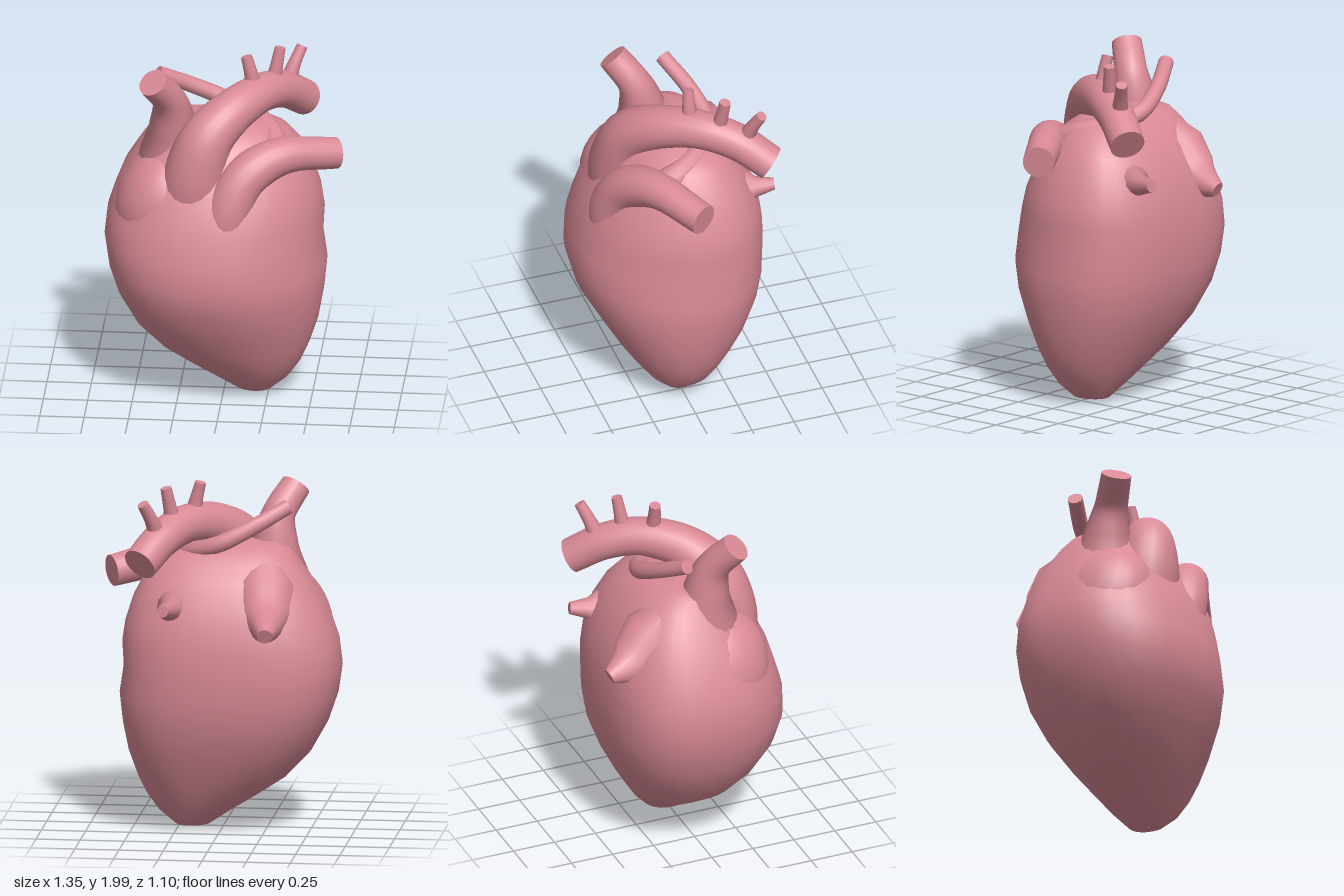
import * as THREE from 'three';

const flesh = new THREE.MeshStandardMaterial({ color: 0xd98a96 });
flesh.name = 'flesh pink';

// Cross-sections: y, centre x, centre z, left x, right x, front z, back z
const SECTIONS = [
  [0, 0.18, 0, 0.179, 0.181, 0.001, -0.001],
  [0.02, 0.18, 0, 0.07, 0.27, 0.085, -0.125],
  [0.1, 0.16, 0, -0.05, 0.365, 0.17, -0.195],
  [0.2, 0.12, 0, -0.21, 0.435, 0.25, -0.26],
  [0.3, 0.08, 0, -0.36, 0.48, 0.32, -0.32],
  [0.45, 0.02, 0, -0.5, 0.53, 0.41, -0.4],
  [0.62, -0.02, -0.02, -0.595, 0.56, 0.505, -0.47],
  [0.78, -0.04, -0.04, -0.65, 0.575, 0.545, -0.5],
  [0.94, -0.04, -0.06, -0.675, 0.55, 0.535, -0.51],
  [1.08, -0.03, -0.06, -0.66, 0.558, 0.495, -0.505],
  [1.2, -0.02, -0.06, -0.62, 0.54, 0.46, -0.49],
  [1.34, -0.01, -0.06, -0.565, 0.495, 0.39, -0.45],
  [1.46, -0.02, -0.06, -0.49, 0.435, 0.31, -0.39],
  [1.56, -0.04, -0.05, -0.425, 0.355, 0.23, -0.315],
  [1.62, -0.06, -0.04, -0.38, 0.25, 0.15, -0.24],
  [1.65, -0.08, -0.03, -0.31, 0.1, 0.07, -0.17],
  [1.66, -0.1, -0.03, -0.101, -0.099, -0.029, -0.031],
];

// Lofted body: every ring has four quarter superellipses of its own squareness
function bodyGeometry(segments = 40) {
  const positions = [], indices = [];
  SECTIONS.forEach(([y, cx, cz, left, right, front, back], i) => {
    const soft = Math.min(1, y / 0.45);
    for (let j = 0; j < segments; j++) {
      const a = (j / segments) * Math.PI * 2;
      const c = Math.cos(a), s = Math.sin(a);
      const full = s < 0 ? 2.6 : c < 0 ? 2.45 : 1.9;
      const n = 2 + (full - 2) * soft;
      const r = Math.pow(Math.pow(Math.abs(c), n) + Math.pow(Math.abs(s), n), -1 / n);
      positions.push(
        cx + r * c * (c > 0 ? right - cx : cx - left), y,
        cz + r * s * (s > 0 ? front - cz : cz - back));
      if (i === SECTIONS.length - 1) continue;
      const k = (j + 1) % segments, lo = i * segments, hi = lo + segments;
      indices.push(lo + j, hi + j, hi + k, lo + j, hi + k, lo + k);
    }
  });
  const geometry = new THREE.BufferGeometry();
  geometry.setAttribute('position', new THREE.Float32BufferAttribute(positions, 3));
  geometry.setIndex(indices);
  geometry.computeVertexNormals();
  return geometry;
}

// Smooth vessel along points, radius eased through a list, flat cap at the far end
function vessel(name, points, radii, steps = 20, sides = 18) {
  const group = new THREE.Group();
  group.name = name;
  const curve = new THREE.CatmullRomCurve3(points.map((p) => new THREE.Vector3(...p)));
  const geometry = new THREE.TubeGeometry(curve, steps, 1, sides);
  const pos = geometry.attributes.position, v = new THREE.Vector3();
  for (let i = 0; i <= steps; i++) {
    const centre = curve.getPointAt(i / steps);
    const f = (i / steps) * (radii.length - 1);
    const k = Math.min(Math.floor(f), radii.length - 2);
    const r = THREE.MathUtils.lerp(radii[k], radii[k + 1], f - k);
    for (let j = 0; j <= sides; j++) {
      const n = i * (sides + 1) + j;
      v.fromBufferAttribute(pos, n).sub(centre).multiplyScalar(r).add(centre);
      pos.setXYZ(n, v.x, v.y, v.z);
    }
  }
  const wall = new THREE.Mesh(geometry, flesh);
  wall.name = name + 'Wall';
  const cap = new THREE.Mesh(new THREE.CircleGeometry(radii[radii.length - 1], sides), flesh);
  cap.name = name + 'End';
  cap.position.copy(curve.getPointAt(1));
  cap.quaternion.setFromUnitVectors(new THREE.Vector3(0, 0, 1), curve.getTangentAt(1));
  group.add(wall, cap);
  return group;
}

export function createModel() {
  const heart = new THREE.Group();
  heart.name = 'heart';

  const body = new THREE.Mesh(bodyGeometry(), flesh);
  body.name = 'ventricles';
  heart.add(body);

  // Gentle swelling of the right atrium
  const atrium = new THREE.Mesh(new THREE.SphereGeometry(1, 32, 20), flesh);
  atrium.name = 'rightAtrium';
  atrium.position.set(-0.35, 1.18, 0.09);
  atrium.scale.set(0.25, 0.34, 0.3);
  atrium.rotation.z = -0.35;
  heart.add(atrium);

  // Great vessels
  heart.add(
    vessel('aorta',
      [[-0.16, 1.16, 0.19], [-0.14, 1.4, 0.22], [-0.08, 1.59, 0.19], [0.05, 1.71, 0.07],
        [0.2, 1.75, -0.13], [0.31, 1.7, -0.31], [0.415, 1.585, -0.475]],
      [0.22, 0.19, 0.15, 0.125, 0.11, 0.105, 0.1], 32, 24),
    vessel('pulmonaryTrunk',
      [[0.03, 1.05, 0.34], [0.05, 1.22, 0.345], [0.14, 1.4, 0.29], [0.32, 1.49, 0.18], [0.63, 1.45, -0.005]],
      [0.12, 0.13, 0.12, 0.098, 0.09], 28, 20),
    vessel('rightPulmonaryArtery',
      [[0.3, 1.48, 0.16], [0.27, 1.55, 0], [0.14, 1.61, -0.17], [0, 1.66, -0.23],
        [-0.18, 1.75, -0.195], [-0.38, 1.86, -0.1]],
      [0.08, 0.065, 0.05, 0.046, 0.043], 28, 12),
    // Flares into the shoulder of the atrium
    vessel('superiorVenaCava',
      [[-0.28, 1.25, 0.05], [-0.28, 1.42, 0.04], [-0.285, 1.59, 0.05], [-0.3, 1.77, 0.09], [-0.388, 1.925, 0.195]],
      [0.27, 0.21, 0.135, 0.093, 0.085], 26, 22));

  // Branches rising from the aortic arch
  [
    [[0.16, 1.8, -0.08], [0.14, 1.9, -0.08], [0.118, 1.985, -0.085]],
    [[0.255, 1.76, -0.215], [0.275, 1.87, -0.23], [0.295, 1.98, -0.245]],
    [[0.33, 1.73, -0.35], [0.365, 1.83, -0.385], [0.405, 1.92, -0.425]],
  ].forEach((path, i) => heart.add(vessel('archBranch' + (i + 1), path, [0.052, 0.038, 0.032], 8, 10)));

  // Veins at the back: a ridge ending in a short stub, and a smaller stub
  heart.add(
    vessel('inferiorVenaCava',
      [[-0.25, 1.5, -0.14], [-0.265, 1.38, -0.27], [-0.285, 1.26, -0.4], [-0.3, 1.2, -0.54]],
      [0.13, 0.18, 0.14, 0.045], 18, 16),
    vessel('pulmonaryVein', [[0.23, 1.31, -0.34], [0.26, 1.32, -0.45], [0.28, 1.33, -0.54]],
      [0.15, 0.06, 0.034], 10, 12));

  return heart;
}
